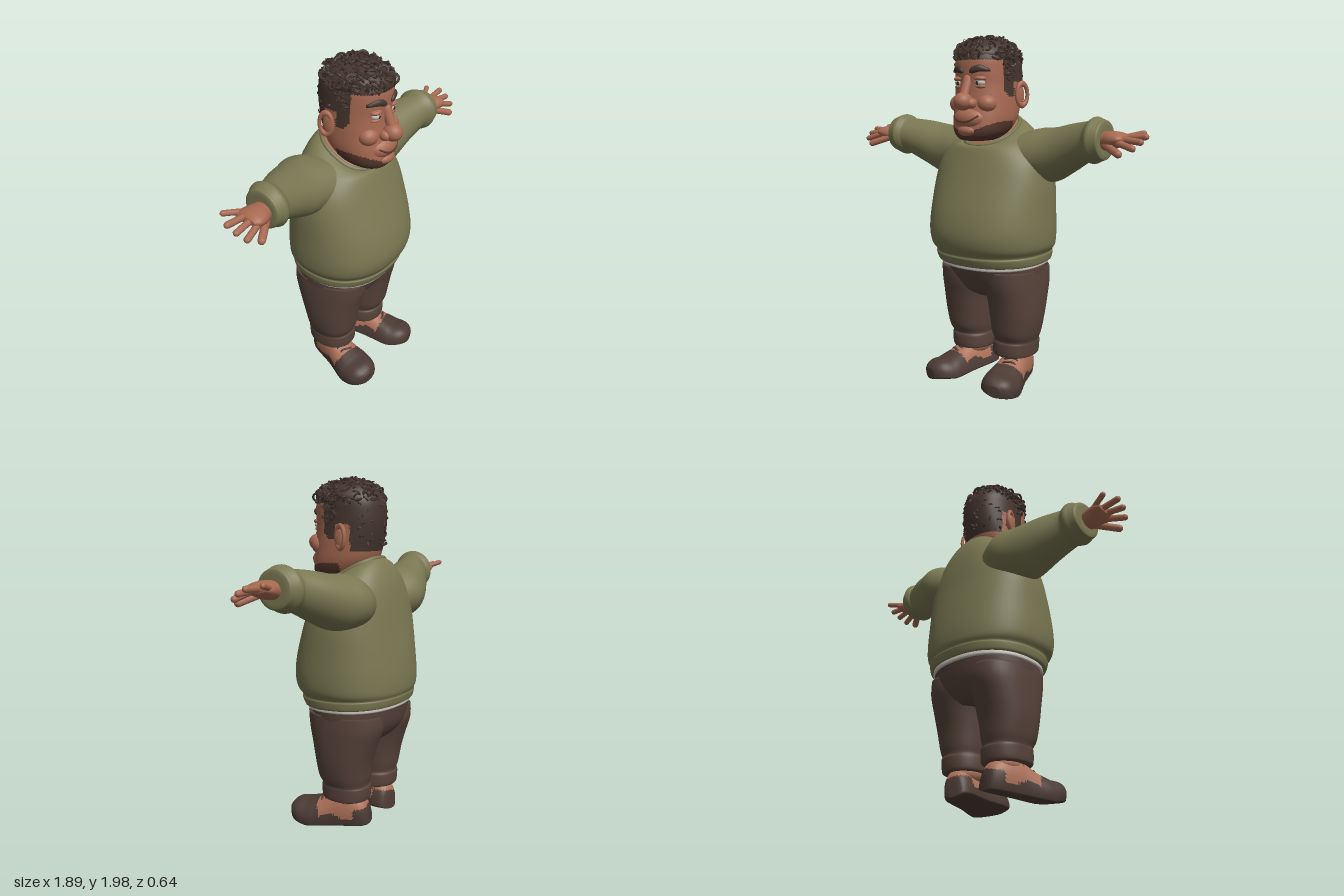
import * as THREE from 'three';
import { mergeGeometries } from 'three/addons/utils/BufferGeometryUtils.js';

const mat = (name, color) => Object.assign(new THREE.MeshStandardMaterial({ color }), { name });
const V = (x, y, z) => new THREE.Vector3(x, y, z);
// signed power for rounded-square cross-sections
const sp = (v, e) => Math.sign(v) * Math.abs(v) ** e;

// Closed smooth skin through cross-sections; ring(params, angle) gives a point
function loft(secs, ring, steps = 5, seg = 40) {
  const rows = [], last = secs.length - 1, pos = [], idx = [];
  for (let i = 0; i < last; i++) {
    for (let s = 0; s < steps; s++) {
      const t = s / steps, [a, b, c, d] = [i - 1, i, i + 1, i + 2].map(k => secs[Math.min(last, Math.max(0, k))]);
      rows.push(b.map((v, k) => 0.5 * (2 * v + (c[k] - a[k]) * t + (2 * a[k] - 5 * v + 4 * c[k] - d[k]) * t * t
        + (3 * v - a[k] - 3 * c[k] + d[k]) * t ** 3)));
    }
  }
  rows.push(secs[last]);
  const add = p => pos.push(...p);
  rows.forEach(r => { for (let j = 0; j < seg; j++) add(ring(r, j / seg * Math.PI * 2)); });
  for (const r of [rows[0], rows[rows.length - 1]]) {
    const p = ring(r, 0), q = ring(r, Math.PI), m = ring(r, Math.PI / 2), n = ring(r, -Math.PI / 2);
    add(p.map((v, k) => (v + q[k] + m[k] + n[k]) / 4));
  }
  const N = rows.length * seg, top = (rows.length - 1) * seg;
  for (let j = 0; j < seg; j++) {
    const k = (j + 1) % seg;
    for (let o = 0; o < top; o += seg) idx.push(o + j, o + k, o + seg + j, o + k, o + seg + k, o + seg + j);
    idx.push(N, k, j, N + 1, top + j, top + k);
  }
  // make the skin face outwards
  let vol = 0;
  const P = i => V(pos[i * 3], pos[i * 3 + 1], pos[i * 3 + 2]);
  for (let i = 0; i < idx.length; i += 3) vol += P(idx[i]).dot(P(idx[i + 1]).cross(P(idx[i + 2])));
  if (vol < 0) idx.reverse();
  const g = new THREE.BufferGeometry();
  g.setAttribute('position', new THREE.Float32BufferAttribute(pos, 3));
  g.setIndex(idx);
  g.computeVertexNormals();
  return g;
}
// horizontal ring: y, x0, x1, zFront, zBack, tilt
const flat = ([y, x0, x1, zf, zb, tilt], a) => {
  const z = (zf + zb) / 2 + (zf - zb) / 2 * sp(Math.sin(a), 0.88);
  return [(x0 + x1) / 2 + (x1 - x0) / 2 * sp(Math.cos(a), 0.88), y - tilt * z, z];
};
// ring across the arm: x, y, z, ry, rz
const across = ([x, y, z, ry, rz], a) => [x, y + ry * Math.cos(a), z + rz * Math.sin(a)];
// ring across the shoe: z, halfWidth, top
const shoeRing = ([z, w, top], a) => {
  const s = Math.sin(a), lift = Math.max(0, z - 0.2) * 0.25;
  return [w * sp(Math.cos(a), 0.75), lift + 0.035 + (s > 0 ? (top - 0.035) * s : 0.035 * sp(s, 0.35)), z];
};

const ell = (x, y, z, rx, ry, rz) => new THREE.SphereGeometry(1, 24, 16).scale(rx, ry, rz).translate(x, y, z);
function capsule(a, b, r) {
  const d = b.clone().sub(a), g = new THREE.CapsuleGeometry(r, d.length(), 5, 10);
  g.applyQuaternion(new THREE.Quaternion().setFromUnitVectors(V(0, 1, 0), d.normalize()));
  return g.translate(...a.clone().add(b).multiplyScalar(0.5).toArray());
}
const tube = (pts, r, closed = false) =>
  new THREE.TubeGeometry(new THREE.CatmullRomCurve3(pts, closed), closed ? 48 : 20, r, 6, closed);

// Sort triangles into material groups by a rule on their centre
function paint(g, rule, count) {
  const p = g.attributes.position, lists = Array.from({ length: count }, () => []), idx = g.index.array;
  for (let i = 0; i < idx.length; i += 3) {
    const t = [idx[i], idx[i + 1], idx[i + 2]];
    const c = f => t.reduce((s, k) => s + p[f](k) / 3, 0);
    lists[rule(c('getX'), c('getY'), c('getZ'))].push(...t);
  }
  let start = 0;
  lists.forEach((l, m) => { g.addGroup(start, l.length, m); start += l.length; });
  g.setIndex(lists.flat());
  return g;
}
function mirror(g) {
  const m = g.clone().scale(-1, 1, 1), a = m.index.array;
  for (let i = 0; i < a.length; i += 3) [a[i], a[i + 1]] = [a[i + 1], a[i]];
  return m;
}

export function createModel() {
  const model = new THREE.Group();
  const skin = mat('skin', 0xa86a52), green = mat('sweater green', 0x7a7852), brown = mat('trouser brown', 0x57433a),
    hair = mat('hair brown', 0x46362e), shoeDark = mat('shoe brown', 0x4c3b34), tan = mat('shoe tan', 0xac7058),
    white = mat('white', 0xc8c4bc), stubble = mat('stubble', 0x55372d), iris = mat('iris', 0x3a2a22);
  const part = (name, g, m) => {
    const mesh = new THREE.Mesh(g, m);
    mesh.name = name;
    model.add(mesh);
  };
  const pair = (name, g, m) => { part(name + 'Left', g, m); part(name + 'Right', mirror(g), m); };
  const sym = (y, x, zf, zb, tilt = 0) => [y, -x, x, zf, zb, tilt];

  // Sweater with its rolled hem, collar and sleeves
  part('sweaterBody', loft([sym(0.745, 0.31, 0.24, -0.285, 0.05), sym(0.745, 0.33, 0.262, -0.3, 0.05),
    sym(0.785, 0.338, 0.282, -0.31, 0.04), sym(0.8, 0.335, 0.28, -0.308, 0.03), sym(0.84, 0.358, 0.31, -0.318),
    sym(0.92, 0.366, 0.322, -0.318), sym(1.04, 0.365, 0.3, -0.305), sym(1.2, 0.36, 0.245, -0.28),
    sym(1.31, 0.335, 0.21, -0.262, 0.04), sym(1.4, 0.27, 0.185, -0.235, 0.15), sym(1.455, 0.2, 0.17, -0.19, 0.38),
    sym(1.475, 0.15, 0.152, -0.15, 0.55)], flat, 5, 56), green);
  const collar = [];
  for (let i = 0; i < 20; i++) collar.push(V(...flat(sym(1.475, 0.147, 0.15, -0.147, 0.55), i / 10 * Math.PI)));
  part('collar', tube(collar, 0.013, true), green);
  pair('sleeve', loft([[0.12, 1.31, -0.04, 0.13, 0.17], [0.26, 1.335, -0.085, 0.15, 0.182],
    [0.38, 1.347, -0.075, 0.148, 0.16], [0.5, 1.388, -0.045, 0.13, 0.132], [0.61, 1.425, -0.005, 0.108, 0.108],
    [0.635, 1.43, 0.0, 0.114, 0.116], [0.66, 1.435, 0.004, 0.121, 0.126], [0.685, 1.437, 0.008, 0.112, 0.116],
    [0.7, 1.437, 0.01, 0.106, 0.11], [0.717, 1.437, 0.012, 0.1, 0.102], [0.722, 1.437, 0.014, 0.08, 0.08]], across), green);
  part('undershirtHem', loft([sym(0.722, 0.308, 0.245, -0.285, 0.05), sym(0.73, 0.315, 0.252, -0.29, 0.05),
    sym(0.76, 0.31, 0.25, -0.285, 0.05)], flat, 3), white);

  // Trousers
  part('trouserSeat', loft([sym(0.53, 0.13, 0.09, -0.17), sym(0.57, 0.24, 0.155, -0.22), sym(0.64, 0.3, 0.2, -0.26),
    sym(0.74, 0.308, 0.237, -0.28, 0.04)], flat), brown);
  pair('trouserLeg', loft([[0.195, 0.05, 0.25, 0.09, -0.14, 0], [0.2, 0.028, 0.268, 0.112, -0.162, 0],
    [0.265, 0.028, 0.272, 0.115, -0.168, 0], [0.285, 0.035, 0.272, 0.108, -0.16, 0], [0.33, 0.026, 0.288, 0.13, -0.17, 0],
    [0.42, 0.016, 0.304, 0.145, -0.185, 0], [0.52, 0.006, 0.31, 0.165, -0.215, 0], [0.62, -0.01, 0.31, 0.192, -0.25, 0],
    [0.7, 0.0, 0.305, 0.2, -0.25, 0]], flat), brown);

  // Shoes: dark toe, heel and sole around a tan upper, with laces
  const place = g => g.rotateZ(-0.17).rotateX(0.08).rotateY(0.24).translate(0.145, 0.038, 0);
  const shoe = loft([[-0.168, 0.03, 0.08], [-0.155, 0.06, 0.13], [-0.11, 0.08, 0.17], [-0.03, 0.086, 0.19],
    [0.04, 0.09, 0.175], [0.1, 0.1, 0.15], [0.18, 0.112, 0.13], [0.25, 0.1, 0.115], [0.29, 0.072, 0.09],
    [0.31, 0.035, 0.065]], shoeRing, 6, 48);
  paint(shoe, (x, y, z) => z > 0.12 + 0.25 * (y - 0.12) || y < 0.07 + 0.02 * Math.sin(z * 30)
    || (z < -0.09 && y < 0.11) ? 1 : 0, 2);
  pair('shoe', place(shoe), [tan, shoeDark]);
  const laces = [];
  for (let i = 0; i < 4; i++) {
    const z = 0.02 + i * 0.03, y = 0.183 - i * 0.011;
    laces.push(tube([V(-0.055, y - 0.03, z), V(-0.02, y, z + 0.008), V(0.02, y, z - 0.008), V(0.055, y - 0.03, z)], 0.006));
  }
  pair('laces', place(mergeGeometries(laces)), shoeDark);
  pair('ankle', ell(0.145, 0.19, -0.03, 0.085, 0.06, 0.1), tan);

  // Hands
  pair('palm', loft([[0.67, 1.43, 0.02, 0.05, 0.056], [0.72, 1.435, 0.022, 0.048, 0.058], [0.77, 1.44, 0.026, 0.046, 0.074],
    [0.815, 1.445, 0.024, 0.034, 0.078], [0.84, 1.447, 0.022, 0.016, 0.06]], across), skin);
  const fingers = [[0.8, 1.435, 0.075, 0.905, 1.405, 0.095, 0.017], [0.81, 1.447, 0.042, 0.925, 1.435, 0.05, 0.017],
    [0.81, 1.452, 0.005, 0.93, 1.46, 0.0, 0.017], [0.8, 1.453, -0.033, 0.888, 1.475, -0.068, 0.015],
    [0.735, 1.42, 0.06, 0.845, 1.378, 0.125, 0.02]];
  pair('fingers', mergeGeometries(fingers.map(f => capsule(V(f[0], f[1], f[2]), V(f[3], f[4], f[5]), f[6]))), skin);

  // Neck and head, with painted scalp, sideburns and jaw stubble
  part('neck', loft([sym(1.478, 0.142, 0.146, -0.144, 0.55), sym(1.495, 0.12, 0.125, -0.125, 0.45),
    sym(1.56, 0.115, 0.12, -0.12, 0.1), sym(1.63, 0.11, 0.11, -0.12)], flat), skin);
  const head = loft([sym(1.42, 0.05, 0.2, 0.08), sym(1.43, 0.1, 0.235, 0.03), sym(1.47, 0.145, 0.252, -0.04),
    sym(1.54, 0.164, 0.25, -0.11), sym(1.63, 0.167, 0.237, -0.142), sym(1.72, 0.165, 0.232, -0.16),
    sym(1.79, 0.164, 0.238, -0.164), sym(1.86, 0.16, 0.235, -0.155), sym(1.92, 0.138, 0.2, -0.115),
    sym(1.95, 0.1, 0.155, -0.07), sym(1.962, 0.04, 0.09, 0.0)], flat, 10, 72);
  paint(head, (x, y, z) => {
    const line = z > 0.115 ? 1.85 : z > 0.03 ? 1.66 + Math.max(0, z - 0.08) : z > -0.05 ? 1.74 : 1.59;
    if (y > line) return 1;
    return z > 0.02 && y < 1.455 + 0.5 * Math.abs(x) ** 1.05 ? 2 : 0;
  }, 3);
  part('head', head, [skin, hair, stubble]);

  // Face
  part('nose', mergeGeometries([ell(0, 1.632, 0.268, 0.05, 0.048, 0.055), ell(0.042, 1.622, 0.248, 0.026, 0.028, 0.032),
    ell(-0.042, 1.622, 0.248, 0.026, 0.028, 0.032), capsule(V(0, 1.65, 0.265), V(0, 1.75, 0.225), 0.026)]), skin);
  part('muzzle', ell(0, 1.54, 0.2, 0.105, 0.066, 0.073), skin);
  part('chin', ell(0, 1.476, 0.212, 0.07, 0.036, 0.058), skin);
  part('mouth', tube([V(-0.083, 1.556, 0.243), V(-0.04, 1.53, 0.267), V(0, 1.524, 0.271), V(0.04, 1.53, 0.267),
    V(0.083, 1.556, 0.243)], 0.005), stubble);
  pair('cheek', ell(0.092, 1.62, 0.18, 0.056, 0.05, 0.055), skin);
  pair('eye', ell(0.068, 1.732, 0.205, 0.03, 0.023, 0.028), white);
  pair('iris', ell(0.066, 1.73, 0.2285, 0.01, 0.011, 0.006), iris);
  pair('eyelid', mergeGeometries([ell(0.068, 1.752, 0.205, 0.037, 0.016, 0.033), ell(0.068, 1.71, 0.2, 0.034, 0.012, 0.03)]), skin);
  pair('eyebrow', loft([[0.022, 1.79, 0.237, 0.008, 0.008], [0.04, 1.797, 0.235, 0.018, 0.014],
    [0.08, 1.806, 0.222, 0.018, 0.014], [0.12, 1.795, 0.19, 0.008, 0.012]], across, 4, 14), hair);
  pair('ear', mergeGeometries([ell(0.178, 1.665, -0.005, 0.017, 0.062, 0.036),
    new THREE.TorusGeometry(0.042, 0.012, 8, 24).scale(0.85, 1.4, 1).rotateY(1.25).translate(0.188, 1.67, -0.014)]), skin);

  // Curly hair: a low crown covered in small locks
  part('hairCrown', ell(0, 1.875, 0.045, 0.165, 0.092, 0.19), hair);
  let seed = 7;
  const rnd = () => (seed = (seed * 16807) % 2147483647) / 2147483647;
  const curl = (p, r, arc) => new THREE.TorusGeometry(r, 0.0065, 4, 9, arc)
    .rotateX(rnd() * 6).rotateY(rnd() * 6).rotateZ(rnd() * 6).translate(...p);
  const curls = [];
  for (let i = 0; i < 260; i++) {
    const a = rnd() * Math.PI * 2, h = -0.1 + rnd() * 1.1, w = Math.sqrt(Math.max(0, 1 - h * h));
    curls.push(curl([0.168 * w * Math.cos(a), 1.868 + 0.1 * h, 0.048 + 0.188 * w * Math.sin(a)], 0.014 + rnd() * 0.012, 3 + rnd() * 2.5));
  }
  // looser locks on the back, temples and fringe
  for (let i = 0; i < 45; i++) {
    const a = Math.PI * (1.08 + rnd() * 0.84), y = 1.62 + rnd() * 0.22;
    curls.push(curl([0.163 * Math.cos(a), y, 0.035 + 0.19 * Math.sin(a)], 0.014, 2.5));
  }
  for (let i = 0; i < 30; i++) {
    const s = rnd() < 0.5 ? -1 : 1;
    curls.push(curl([s * 0.165, 1.76 + rnd() * 0.1, 0.03 + rnd() * 0.09], 0.015, 4));
  }
  part('curls', mergeGeometries(curls), hair);
  return model;
}
